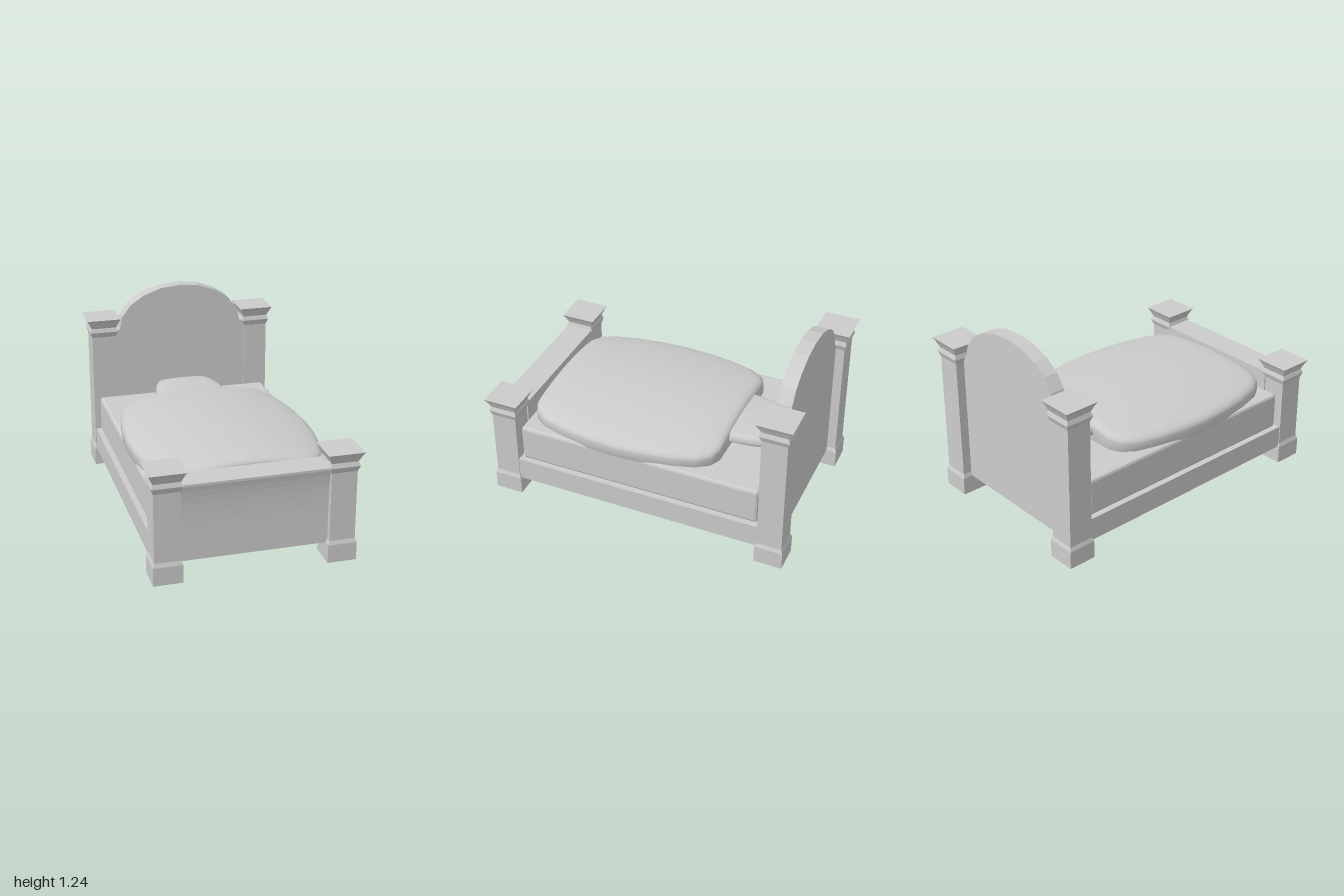
import * as THREE from 'three';
import { mergeVertices } from 'three/addons/utils/BufferGeometryUtils.js';
import { RoundedBoxGeometry } from 'three/addons/geometries/RoundedBoxGeometry.js';

const flat = new THREE.MeshStandardMaterial({ color: 0xcccccc, flatShading: true });
const smooth = new THREE.MeshStandardMaterial({ color: 0xcccccc });

function add(group, name, geometry, material = flat) {
  const mesh = new THREE.Mesh(geometry, material);
  mesh.name = name;
  group.add(mesh);
  return mesh;
}

// Square post: a four-sided lathe with a wide foot and a flared cap
function postGeometry(h) {
  const profile = [
    [0, 0], [0.09, 0], [0.09, 0.115], [0.08, 0.14],
    [0.08, h - 0.125], [0.093, h - 0.09], [0.083, h - 0.062],
    [0.09, h - 0.045], [0.099, h - 0.024], [0.112, h], [0, h],
  ].map(([half, y]) => new THREE.Vector2(half * Math.SQRT2, y));
  return new THREE.LatheGeometry(profile, 4).rotateY(Math.PI / 4);
}

// Soft cushion: an outline of [x, z] (right half, back to front) swept through
// scaled rings, with a domed top that rolls down to upright sides
function cushionGeometry(half, zc, bottom, top) {
  const left = half.slice(1, -1).reverse().map(([x, z]) => [-x, z]);
  const outline = [...half, ...left];
  const rings = [ // scale, drop below the dome (null = flat underside)
    [0, null], [0.97, null], [1, null], [1, 0.036], [0.99, 0.02], [0.965, 0.009], [0.92, 0.002],
    [0.8, 0], [0.65, 0], [0.5, 0], [0.33, 0], [0.16, 0], [0, 0],
  ];
  const n = outline.length, pos = [], index = [];
  rings.forEach(([s, drop], r) => {
    outline.forEach(([x, z], i) => {
      const px = x * s, dz = (z - zc) * s;
      pos.push(px, drop === null ? bottom : top(px, dz) - drop, zc + dz);
      if (r === 0) return;
      const j = (i + 1) % n, a = (r - 1) * n, b = r * n;
      index.push(a + i, b + i, a + j, b + i, b + j, a + j);
    });
  });
  let g = new THREE.BufferGeometry();
  g.setAttribute('position', new THREE.Float32BufferAttribute(pos, 3));
  g.setIndex(index);
  g = mergeVertices(g, 1e-5);
  g.computeVertexNormals();
  return g;
}

export function createModel() {
  const bed = new THREE.Group();
  bed.name = 'bed';

  // Corner posts, tall at the head
  for (const [name, h, z] of [['headPost', 1.045, -0.888], ['footPost', 0.7, 0.888]]) {
    for (const side of [1, -1]) {
      add(bed, name + (side > 0 ? 'Left' : 'Right'), postGeometry(h)).position.set(side * 0.53, 0, z);
    }
  }

  // Arched headboard with small shoulders
  const arch = [[0.47, 0.115], [0.455, 0.92], [0.438, 0.96], [0.42, 0.96], [0.4, 1.045],
    [0.34, 1.125], [0.25, 1.185], [0.13, 1.228]];
  const outline = [...arch, [0, 1.24], ...[...arch].reverse().map(([x, y]) => [-x, y])];
  const board = new THREE.Shape(outline.map(([x, y]) => new THREE.Vector2(x, y)));
  add(bed, 'headboard', new THREE.ExtrudeGeometry(board, { depth: 0.093, bevelEnabled: false }))
    .position.z = -0.911;

  // Footboard: side profile (z, y) whose front flares out under a thin lip
  const foot = new THREE.Shape();
  foot.moveTo(0.8, 0.115);
  foot.lineTo(0.932, 0.115);
  foot.lineTo(0.932, 0.3);
  foot.quadraticCurveTo(0.932, 0.5, 0.955, 0.59);
  foot.lineTo(0.975, 0.6);
  foot.lineTo(0.975, 0.615);
  foot.lineTo(0.8, 0.615);
  foot.closePath();
  add(bed, 'footboard',
    new THREE.ExtrudeGeometry(foot, { depth: 0.92, bevelEnabled: false, curveSegments: 6 })
      .translate(0, 0, -0.46).rotateY(-Math.PI / 2).scale(1, 1, 1));

  // Solid base frame with a ledge around the mattress
  add(bed, 'baseFrame', new THREE.BoxGeometry(1.21, 0.147, 1.66)).position.y = 0.1885;

  // Mattress with chamfered edges
  add(bed, 'mattress', new RoundedBoxGeometry(1.15, 0.24, 1.585, 1, 0.018)).position.y = 0.38;

  // Duvet: barrel-shaped outline, cut straight at both ends
  const duvet = [[0, -0.475], [0.13, -0.475], [0.27, -0.475], [0.38, -0.473], [0.45, -0.44],
    [0.505, -0.36], [0.55, -0.2], [0.575, -0.03], [0.585, 0.15], [0.575, 0.33], [0.55, 0.5],
    [0.505, 0.66], [0.45, 0.74], [0.38, 0.773], [0.27, 0.775], [0.13, 0.775], [0, 0.775]];
  add(bed, 'duvet', cushionGeometry(duvet, 0.15, 0.485,
    (x, z) => 0.657 - 0.23 * x * x - 0.06 * z * z), smooth);

  // Pillow, half tucked under the duvet
  const pillowBack = [[0, -0.787], [0.07, -0.787], [0.14, -0.785], [0.17, -0.772], [0.2, -0.71],
    [0.222, -0.62], [0.235, -0.5]];
  const pillowFront = [...pillowBack].reverse().map(([x, z]) => [x, -0.94 - z]);
  add(bed, 'pillow', cushionGeometry([...pillowBack, ...pillowFront], -0.47, 0.54,
    (x, z) => 0.607 - 0.25 * x * x - 0.08 * z * z), smooth);

  return bed;
}
